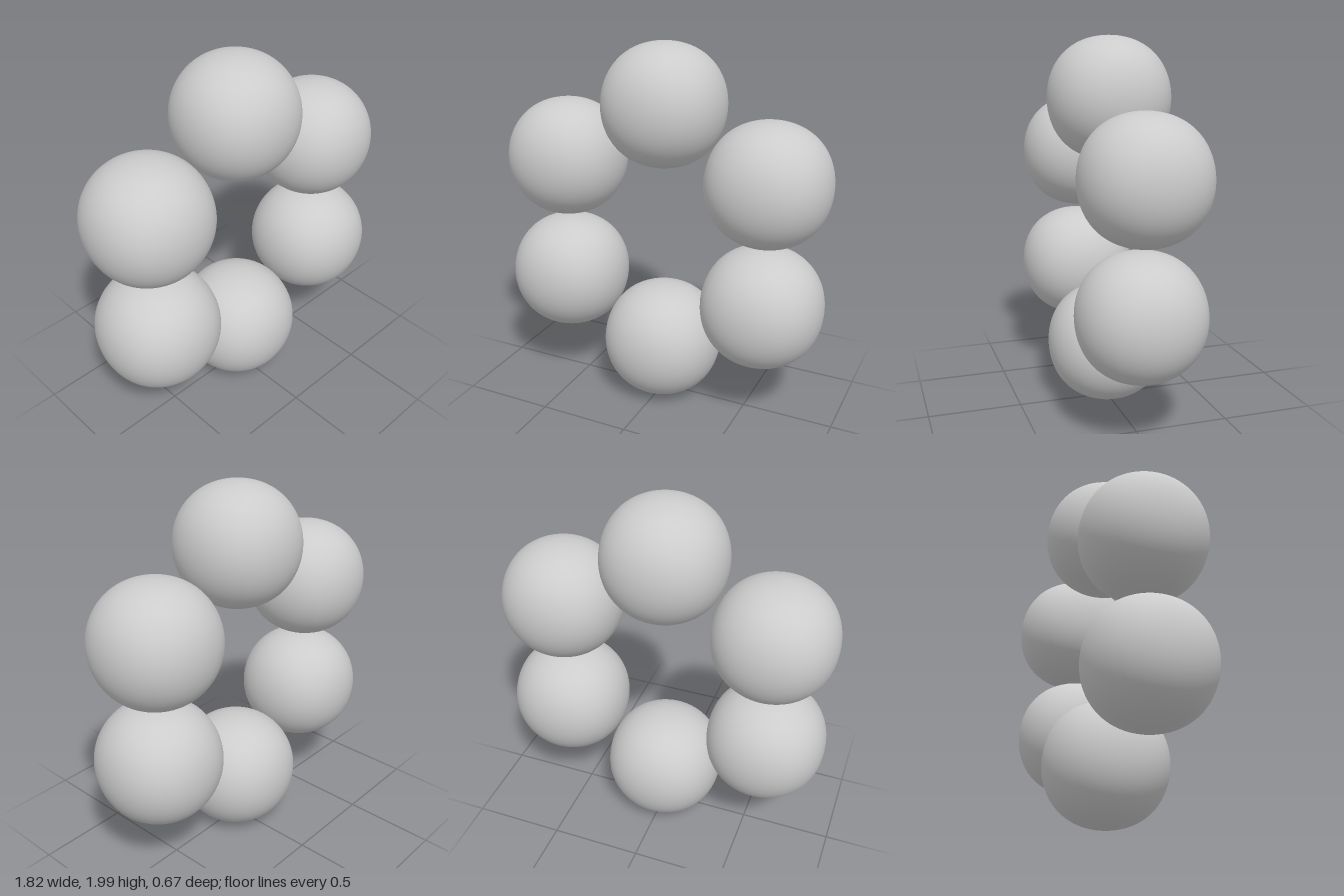
import * as THREE from 'three';
import { mergeVertices } from 'three/addons/utils/BufferGeometryUtils.js';

// A ball made from a cube: nearly a sphere, swelling slightly toward the cube's edges and corners
function squarishBall(radius, segments = 24) {
  const cube = new THREE.BoxGeometry(2, 2, 2, segments, segments, segments);
  cube.deleteAttribute('uv');
  cube.deleteAttribute('normal');
  const geometry = mergeVertices(cube);
  const pos = geometry.attributes.position;
  const v = new THREE.Vector3();
  for (let i = 0; i < pos.count; i++) {
    v.fromBufferAttribute(pos, i);
    // Spread the grid evenly by angle
    v.set(...v.toArray().map((c) => Math.tan((c * Math.PI) / 4))).normalize();
    const [a, b, c] = [v.x ** 2, v.y ** 2, v.z ** 2];
    const swell = 1 + 0.054 * (1 - a * a - b * b - c * c) - 0.12 * a * b * c;
    v.multiplyScalar(radius * swell);
    pos.setXYZ(i, v.x, v.y, v.z);
  }
  geometry.computeVertexNormals();
  return geometry;
}

export function createModel() {
  const model = new THREE.Group();
  model.name = 'ballRing';
  const material = new THREE.MeshStandardMaterial({ color: 0xcccccc });
  const geometry = squarishBall(0.325);

  // Six balls in an upright, slightly uneven ring
  const balls = {
    topBall: [0, 1.675, -0.01],
    upperLeftBall: [0.584, 1.325, -0.003],
    lowerLeftBall: [0.584, 0.655, 0.012],
    bottomBall: [0, 0.332, 0],
    lowerRightBall: [-0.586, 0.655, 0.01],
    upperRightBall: [-0.588, 1.333, -0.007],
  };
  for (const [name, position] of Object.entries(balls)) {
    const ball = new THREE.Mesh(geometry, material);
    ball.name = name;
    ball.position.set(...position);
    model.add(ball);
  }
  return model;
}
